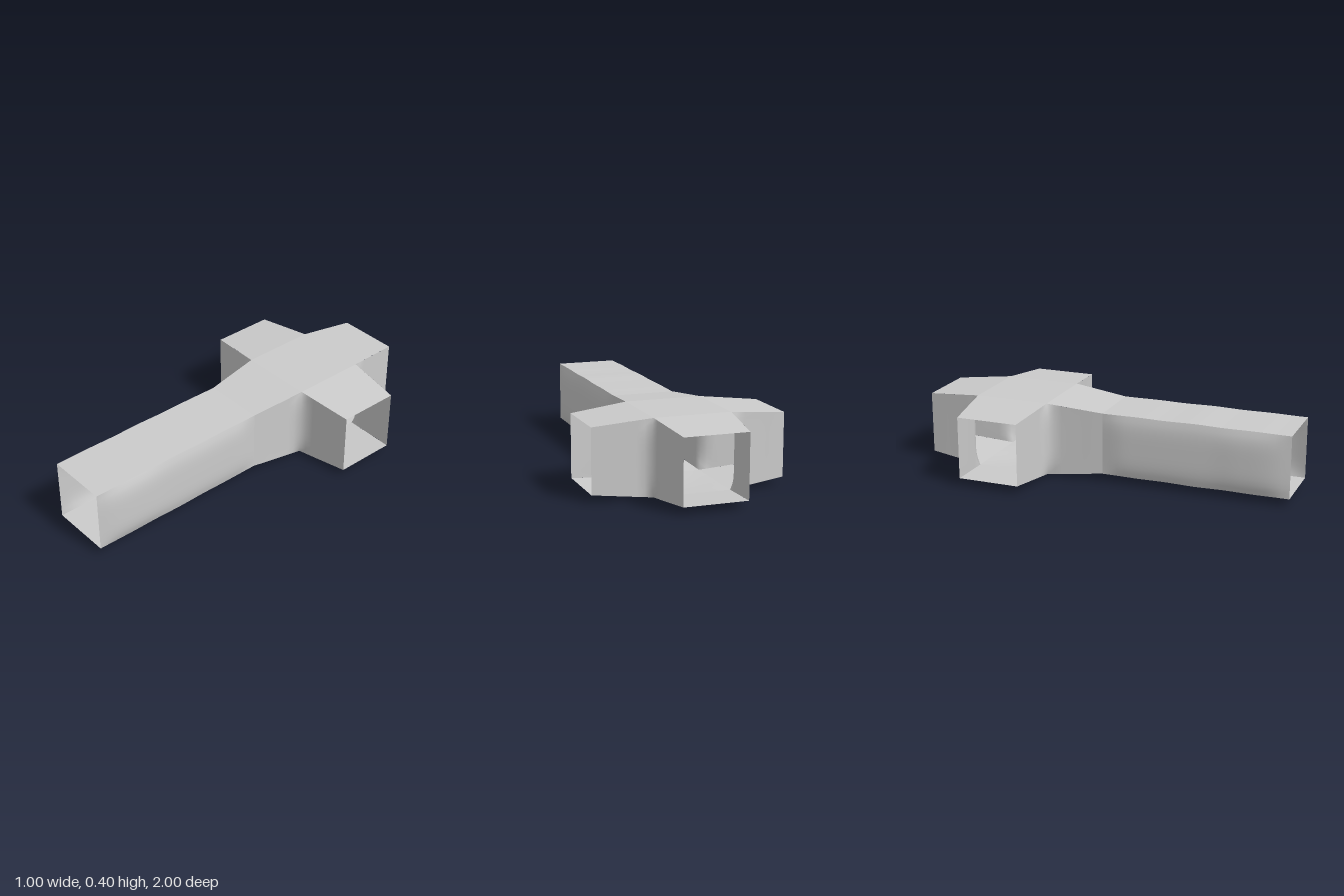
import * as THREE from 'three';

const material = new THREE.MeshStandardMaterial({ color: 0xcccccc, side: THREE.DoubleSide });
const MID = 0.205;   // mid height of every passage
const HALF = 0.165;  // half size of the square openings
const CORE = 0.2;    // half width of the central chamber
const RISE = 0.195;  // half height of the central chamber

// Grid surface from a rule at(u, v) => [x, y, z]; the front lies along dP/du x dP/dv
function surface(name, nu, nv, at) {
  const pos = [], index = [];
  for (let i = 0; i <= nu; i++)
    for (let j = 0; j <= nv; j++) pos.push(...at(i / nu, j / nv));
  for (let i = 0; i < nu; i++)
    for (let j = 0; j < nv; j++) {
      const a = i * (nv + 1) + j, b = a + nv + 1;
      index.push(a, b, b + 1, a, b + 1, a + 1);
    }
  const g = new THREE.BufferGeometry();
  g.setAttribute('position', new THREE.Float32BufferAttribute(pos, 3));
  g.setIndex(index);
  g.computeVertexNormals();
  const mesh = new THREE.Mesh(g, material);
  mesh.name = name;
  return mesh;
}

const lerp = THREE.MathUtils.lerp;
const fullness = (t) => 1 - Math.pow(Math.abs(t), 4); // 0 at floor and roof, 1 between

// Plan of one inner corner: sharp at floor and roof, filleted at mid height
const mirror = (half) => [...half, ...half.slice(0, -1).reverse().map(([x, z]) => [z, x])];
const edgePlan = mirror([[0.5, 0.165], [0.4, 0.177], [0.28, 0.191], [0.24, 0.195], [0.2, 0.2]]);
const filletPlan = mirror([[0.5, 0.165], [0.4, 0.177], [0.28, 0.19], [0.244, 0.199], [0.216, 0.216]]);

function cornerWall() {
  const n = edgePlan.length - 1;
  return surface('cornerWall', n, 12, (u, v) => {
    const i = Math.round(u * n), t = 1 - 2 * v, f = fullness(t);
    const [ex, ez] = edgePlan[i], [fx, fz] = filletPlan[i];
    const h = lerp(RISE, HALF, (Math.max(ex, ez) - CORE) / 0.3);
    return [lerp(ex, fx, f), MID + t * h, lerp(ez, fz, f)];
  });
}

// Sloping roof (side 1) or floor (side -1) of one arm, running along +z
function armPanel(name, side) {
  return surface(name, 1, 1, (u, v) => {
    const [d, s] = side > 0 ? [v, 1 - 2 * u] : [u, 1 - 2 * v];
    const w = lerp(CORE, HALF, d);
    return [-s * w, MID + side * lerp(RISE, HALF, d), lerp(CORE, 0.5, d)];
  }).translateY(0);
}

function createHub() {
  const hub = new THREE.Group();
  hub.name = 'crossing';
  for (let k = 0; k < 4; k++) {
    const quarter = new THREE.Group();
    quarter.name = 'crossingArm' + (k + 1);
    quarter.rotation.y = k * Math.PI / 2;
    quarter.add(cornerWall(), armPanel('armRoof', 1), armPanel('armFloor', -1));
    hub.add(quarter);
  }
  // Flat roof and slightly sagging floor of the chamber
  hub.add(surface('chamberRoof', 1, 1, (u, v) =>
    [(2 * v - 1) * CORE, MID + RISE, (2 * u - 1) * CORE]));
  hub.add(surface('chamberFloor', 8, 8, (u, v) => {
    const sag = 0.01 * Math.sin(Math.PI * u) * Math.sin(Math.PI * v);
    return [(2 * u - 1) * CORE, MID - RISE - sag, (2 * v - 1) * CORE];
  }));
  // Turn roof to face upwards
  const roof = hub.getObjectByName('chamberRoof');
  roof.geometry.computeVertexNormals();
  hub.position.z = -0.5;
  return hub;
}

// Sideways swelling of the long passage along z
const swellKeys = [[0, 0], [0.1, 0.015], [0.6, 0.016], [0.72, 0.021], [0.85, 0.021], [0.93, 0.015], [1, 0]];
function swell(z) {
  let i = 1;
  while (i < swellKeys.length - 1 && z > swellKeys[i][0]) i++;
  const [z0, s0] = swellKeys[i - 1], [z1, s1] = swellKeys[i];
  return lerp(s0, s1, (z - z0) / (z1 - z0));
}

function createPassage() {
  const passage = new THREE.Group();
  passage.name = 'longPassage';
  const ripple = (z) => 0.003 * Math.sin(Math.PI * z) * Math.sin(3 * Math.PI * z) ** 2;
  for (const side of [1, -1]) {
    passage.add(surface(side > 0 ? 'leftWall' : 'rightWall', 24, 12, (u, v) => {
      const z = side > 0 ? 1 - u : u, t = 2 * v - 1;
      return [side * (HALF + swell(z) * fullness(t)), MID + t * (HALF + ripple(z)), z];
    }));
    passage.add(surface(side > 0 ? 'roof' : 'floor', 24, 1, (z, v) =>
      [side * (2 * v - 1) * HALF, MID + side * (HALF + ripple(z)), z]));
  }
  return passage;
}

export function createModel() {
  const model = new THREE.Group();
  model.name = 'tunnelJunction';
  model.add(createHub(), createPassage());
  return model;
}
